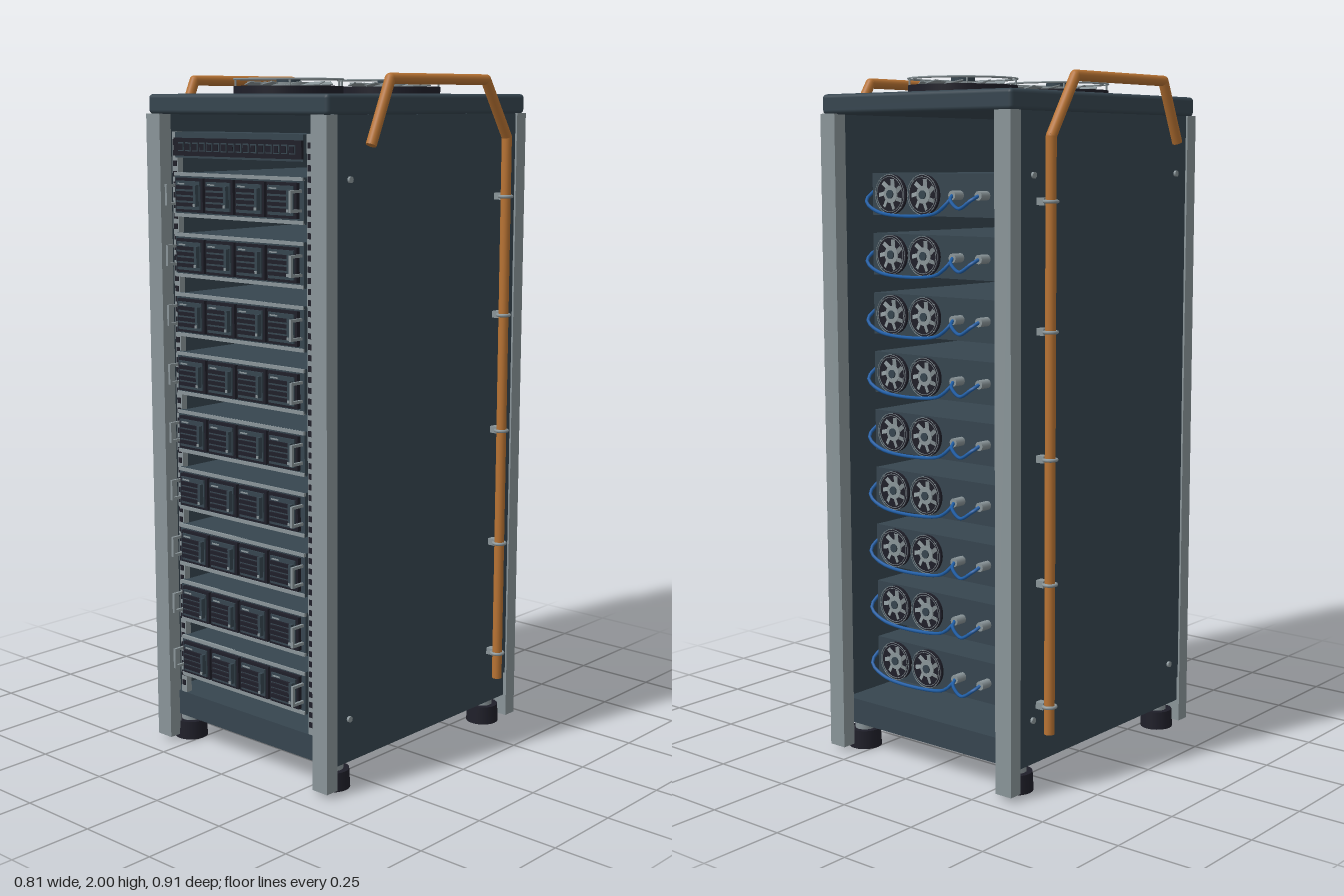
import * as THREE from 'three';
import { RoundedBoxGeometry } from 'three/addons/geometries/RoundedBoxGeometry.js';

const paint = (name, color) => Object.assign(new THREE.MeshStandardMaterial({ color }), { name });

export function createModel() {
  const slate = paint('slate panel', 0x36454f);
  const steel = paint('brushed steel', 0x8a9599);
  const dark = paint('black plastic', 0x1f1f29);
  const copper = paint('copper', 0xb87333);
  const blue = paint('blue hose', 0x1f5fa8);

  const root = new THREE.Group();
  root.name = 'serverCabinet';

  const add = (parent, name, geo, mat, x = 0, y = 0, z = 0) => {
    const m = new THREE.Mesh(geo, mat);
    m.name = name;
    m.position.set(x, y, z);
    parent.add(m);
    return m;
  };
  // Box given by its min and max on each axis
  const span = (parent, name, mat, x0, x1, y0, y1, z0, z1) =>
    add(parent, name, new THREE.BoxGeometry(x1 - x0, y1 - y0, z1 - z0), mat,
      (x0 + x1) / 2, (y0 + y1) / 2, (z0 + z1) / 2);
  const group = (parent, name, x = 0, y = 0, z = 0) => {
    const g = new THREE.Group();
    g.name = name;
    g.position.set(x, y, z);
    parent.add(g);
    return g;
  };

  // Cabinet shell, open at front and back
  add(root, 'lid', new RoundedBoxGeometry(0.7, 0.057, 0.87, 2, 0.012), slate, 0, 1.917, -0.013);
  span(root, 'base', slate, -0.342, 0.342, 0.08, 0.155, -0.405, 0.39);
  for (const s of [-1, 1]) {
    add(root, 'sidePanel', new THREE.BoxGeometry(0.02, 1.735, 0.8), slate, s * 0.335, 1.022, -0.01);
    for (const [z, footZ] of [[0.406, 0.342], [-0.43, -0.36]]) {
      add(root, 'cornerPost', new THREE.BoxGeometry(0.056, 1.877, 0.043), steel, s * 0.323, 0.952, z);
      add(root, 'foot', new THREE.CylinderGeometry(0.047, 0.05, 0.055, 20), dark, s * 0.295, 0.0275, footZ);
      add(root, 'footStem', new THREE.CylinderGeometry(0.03, 0.03, 0.03, 16), steel, s * 0.295, 0.067, footZ);
    }
    for (const y of [0.21, 1.72]) for (const z of [0.33, -0.35]) {
      const screw = add(root, 'panelScrew', new THREE.CylinderGeometry(0.009, 0.009, 0.01, 10), steel, s * 0.347, y, z);
      screw.rotation.z = Math.PI / 2;
    }
  }

  // Mounting rails with square holes
  for (const s of [-1, 1]) {
    add(root, 'mountingRail', new THREE.BoxGeometry(0.022, 1.68, 0.02), steel, s * 0.264, 1.0, 0.388);
    for (let y = 0.19; y < 1.83; y += 0.03)
      add(root, 'railHole', new THREE.BoxGeometry(0.014, 0.016, 0.004), dark, s * 0.264, y, 0.398);
  }

  // Fan facing +y, housing radius 0.15
  const fan = (parent, name, blades) => {
    const g = group(parent, name);
    add(g, 'fanHousing', new THREE.CylinderGeometry(0.155, 0.155, 0.022, 40), dark, 0, 0.011, 0);
    add(g, 'fanHubPlate', new THREE.CylinderGeometry(0.07, 0.07, 0.012, 32), steel, 0, 0.026, 0);
    add(g, 'fanHub', new THREE.CylinderGeometry(0.034, 0.034, 0.02, 24), slate, 0, 0.034, 0);
    for (let i = 0; i < blades; i++) {
      const arm = group(g, 'fanBlade');
      arm.rotation.y = (i / blades) * Math.PI * 2;
      const b = add(arm, 'blade', new THREE.BoxGeometry(0.062, 0.003, 0.034), steel, 0.092, 0.028, 0);
      b.rotation.set(0.25, 0.25, 0);
    }
    for (const r of [0.155, 0.138]) {
      const ring = add(g, 'guardRing', new THREE.TorusGeometry(r, 0.0025, 5, 40), steel, 0, 0.041, 0);
      ring.rotation.x = Math.PI / 2;
    }
    for (let i = 0; i < 4; i++) {
      const a = Math.PI * (i / 2 + 0.25);
      add(g, 'guardPin', new THREE.CylinderGeometry(0.003, 0.003, 0.024, 6), steel,
        Math.cos(a) * 0.15, 0.03, Math.sin(a) * 0.15);
    }
    return g;
  };
  for (const z of [-0.234, 0.202]) fan(root, 'roofFan', 9).position.set(0, 1.945, z);

  // Patch panel at the top of the rack
  const patch = group(root, 'patchPanel', 0, 1.803, 0);
  span(patch, 'patchBody', slate, -0.25, 0.25, -0.036, 0.036, 0.3, 0.41);
  span(patch, 'patchFace', dark, -0.25, 0.25, -0.03, 0.02, 0.408, 0.416);
  for (let i = 0; i < 16; i++) {
    const x = -0.217 + i * 0.029;
    span(patch, 'portFrame', slate, x - 0.011, x + 0.011, -0.017, 0.008, 0.414, 0.419);
    span(patch, 'portOpening', dark, x - 0.008, x + 0.008, -0.014, 0.004, 0.417, 0.421);
  }

  // One server: body, drive modules, handles, rear fans and hoses
  const curve = (...p) => new THREE.CatmullRomCurve3(p.map((a) => new THREE.Vector3(...a)));
  const server = (y) => {
    const g = group(root, 'server', 0, y, 0);
    span(g, 'serverBody', slate, -0.25, 0.25, -0.06, 0.06, -0.345, 0.402);
    span(g, 'frontPlate', slate, -0.253, 0.253, -0.063, 0.063, 0.4, 0.41);
    for (const s of [-1, 1]) {
      add(g, 'plateTrim', new THREE.BoxGeometry(0.506, 0.01, 0.008), steel, 0, s * 0.058, 0.41);
      const h = group(g, 'handle', s * 0.243, 0, 0);
      span(h, 'handleGrip', steel, -0.004, 0.004, -0.03, 0.03, 0.447, 0.455);
      for (const t of [-1, 1])
        add(h, 'handleArm', new THREE.BoxGeometry(0.008, 0.008, 0.045), steel, 0, t * 0.026, 0.43);
    }
    for (let i = 0; i < 4; i++) {
      const m = group(g, 'driveModule', -0.182 + i * 0.121, 0, 0);
      span(m, 'moduleFrame', dark, -0.056, 0.056, -0.048, 0.048, 0.408, 0.422);
      span(m, 'moduleFace', slate, -0.048, 0.048, -0.04, 0.04, 0.42, 0.427);
      for (let k = 0; k < 4; k++) {
        const sy = -0.026 + k * 0.016;
        span(m, 'ventSlat', dark, -0.042, 0.03, sy - 0.005, sy + 0.005, 0.425, 0.434);
      }
      span(m, 'statusStrip', steel, -0.04, -0.012, 0.03, 0.034, 0.425, 0.429);
      span(m, 'latch', slate, 0.035, 0.045, -0.03, 0.03, 0.425, 0.44);
      span(m, 'latchTip', steel, 0.036, 0.044, -0.03, -0.022, 0.438, 0.442);
    }
    for (const x of [0.17, 0.045]) {
      const f = fan(g, 'rearFan', 7);
      f.scale.setScalar(0.36);
      f.rotation.x = -Math.PI / 2;
      f.position.set(x, 0, -0.345);
    }
    for (const x of [-0.085, -0.18]) {
      const c = add(g, 'hoseFitting', new THREE.CylinderGeometry(0.013, 0.013, 0.04, 12), steel, x, 0, -0.362);
      c.rotation.x = Math.PI / 2;
    }
    const hoses = [
      curve([-0.085, 0, -0.38], [-0.095, -0.012, -0.4], [-0.13, -0.035, -0.405], [-0.17, -0.012, -0.4], [-0.18, 0, -0.38]),
      curve([-0.085, 0, -0.375], [-0.06, -0.03, -0.385], [0.0, -0.054, -0.37], [0.2, -0.052, -0.37], [0.262, -0.02, -0.36], [0.268, 0.02, -0.3]),
    ];
    for (const c of hoses) add(g, 'coolantHose', new THREE.TubeGeometry(c, 24, 0.005, 6), blue);
  };
  for (let i = 0; i < 9; i++) server(0.284 + i * 0.1724);

  // Copper coolant pipes with clamps on each side
  const route = [[1.81, 0.285], [1.985, 0.208], [1.985, -0.213], [1.822, -0.318], [0.17, -0.318]];
  for (const s of [-1, 1]) {
    const pipe = group(root, 'coolantPipe', s * 0.381, 0, 0);
    const pts = route.map(([y, z]) => new THREE.Vector3(0, y, z));
    for (let i = 0; i < pts.length - 1; i++) {
      const d = pts[i + 1].clone().sub(pts[i]);
      const mid = pts[i].clone().addScaledVector(d, 0.5);
      const tube = add(pipe, 'pipeRun', new THREE.CylinderGeometry(0.015, 0.015, d.length(), 16), copper, 0, mid.y, mid.z);
      tube.quaternion.setFromUnitVectors(new THREE.Vector3(0, 1, 0), d.normalize());
      if (i > 0) add(pipe, 'pipeElbow', new THREE.SphereGeometry(0.015, 16, 10), copper, 0, pts[i].y, pts[i].z);
    }
    for (const y of [0.25, 0.6, 0.95, 1.3, 1.65]) {
      const ring = add(pipe, 'clampRing', new THREE.TorusGeometry(0.018, 0.005, 8, 20), steel, 0, y, -0.318);
      ring.rotation.x = Math.PI / 2;
      add(pipe, 'clampArm', new THREE.BoxGeometry(0.03, 0.02, 0.024), steel, -s * 0.026, y, -0.322);
    }
  }
  return root;
}
